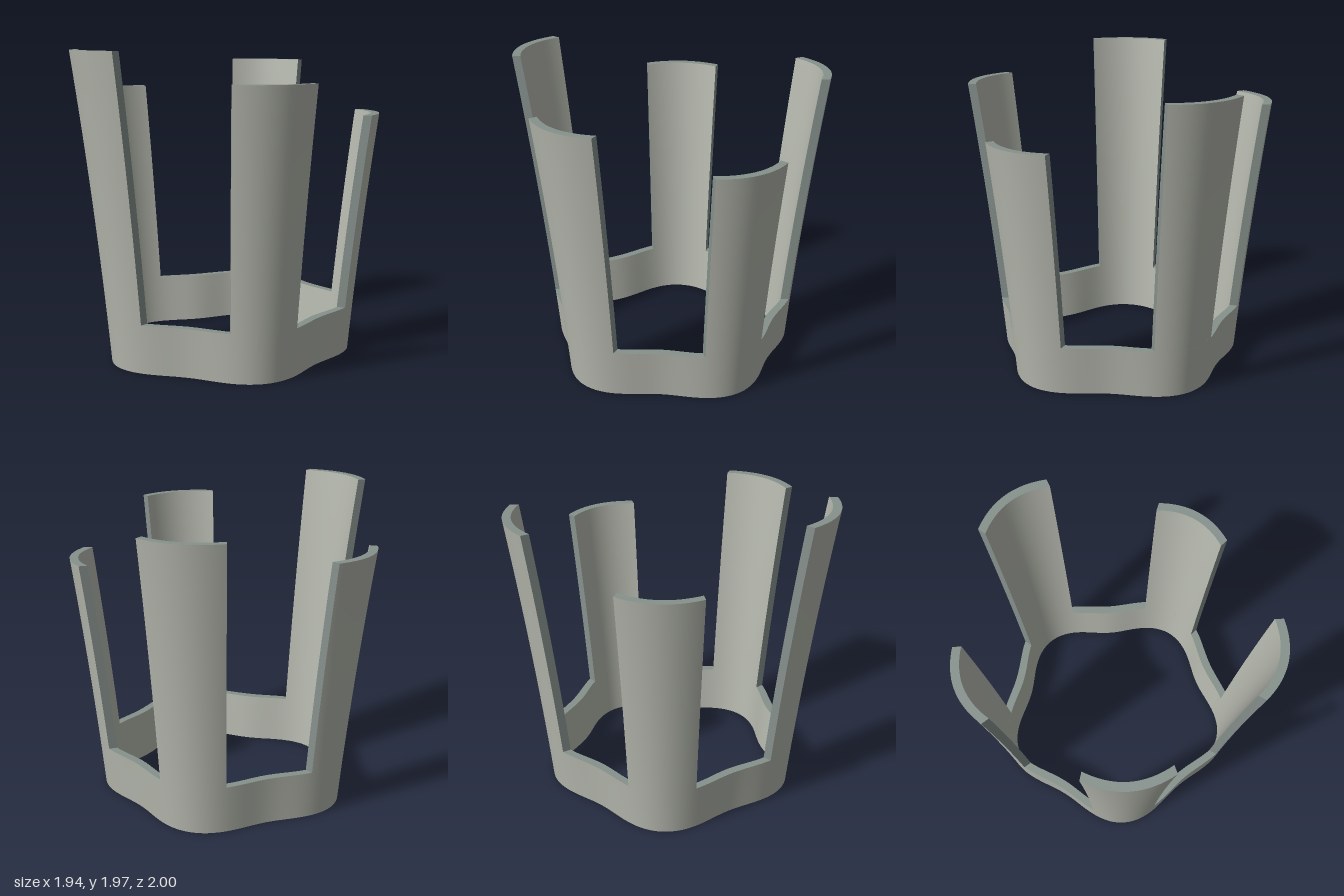
import * as THREE from 'three';
import { ParametricGeometry } from 'three/addons/geometries/ParametricGeometry.js';

const CENTRE_X = -0.025;
const THICKNESS = 0.054;
const BAND_HEIGHT = 0.315;
const HALF_POST = THREE.MathUtils.degToRad(15.2);

// Five-lobed wall, flaring gently with height; depth 0 is the inner skin, 1 the outer
function wallPoint(angle, y, depth, target) {
  const r = 0.762 + 0.09 * y + 0.0145 * y * y + 0.055 * Math.cos(5 * angle) - THICKNESS * (1 - depth);
  return target.set(CENTRE_X + r * Math.cos(angle), y, r * Math.sin(angle));
}

export function createModel() {
  const wallGrey = new THREE.MeshStandardMaterial({ color: 0xb6b9af });
  wallGrey.name = 'wall grey';
  const rimGrey = new THREE.MeshStandardMaterial({ color: 0x87928d });
  rimGrey.name = 'rim grey green';

  const model = new THREE.Group();
  model.name = 'crownStand';
  const lerp = THREE.MathUtils.lerp;

  function addPatch(parent, name, material, func, slices, stacks) {
    const mesh = new THREE.Mesh(new ParametricGeometry(func, slices, stacks), material);
    mesh.name = name;
    parent.add(mesh);
  }

  // Curved slab of wall between two angles and two heights
  function addSlab(name, a0, a1, y0, y1, slices, stacks) {
    const slab = new THREE.Group();
    slab.name = name;
    model.add(slab);
    addPatch(slab, name + 'Outer', wallGrey, (u, v, p) => wallPoint(lerp(a1, a0, u), lerp(y0, y1, v), 1, p), slices, stacks);
    addPatch(slab, name + 'Inner', wallGrey, (u, v, p) => wallPoint(lerp(a0, a1, u), lerp(y0, y1, v), 0, p), slices, stacks);
    addPatch(slab, name + 'Top', rimGrey, (u, v, p) => wallPoint(lerp(a0, a1, u), y1, v, p), slices, 1);
    return slab;
  }

  // Continuous band around the foot
  const band = addSlab('baseBand', 0, Math.PI * 2, 0, BAND_HEIGHT, 150, 4);
  addPatch(band, 'baseBandUnderside', rimGrey, (u, v, p) => wallPoint(-u * Math.PI * 2, 0, v, p), 150, 1);

  // Five upright posts, one on each lobe, all of different heights
  const posts = [
    ['leftPost', 0, 1.56],
    ['frontPost', 1, 1.79],
    ['frontRightPost', 2, 1.97],
    ['backRightPost', 3, 1.69],
    ['backPost', 4, 1.87],
  ];
  for (const [name, index, height] of posts) {
    const middle = index * Math.PI * 2 / 5;
    const a0 = middle - HALF_POST;
    const a1 = middle + HALF_POST;
    const post = addSlab(name, a0, a1, BAND_HEIGHT, height, 16, 16);
    // Flat cut edges on both sides
    addPatch(post, name + 'EdgeA', rimGrey, (u, v, p) => wallPoint(a0, lerp(BAND_HEIGHT, height, v), 1 - u, p), 1, 16);
    addPatch(post, name + 'EdgeB', rimGrey, (u, v, p) => wallPoint(a1, lerp(BAND_HEIGHT, height, v), u, p), 1, 16);
  }
  return model;
}
